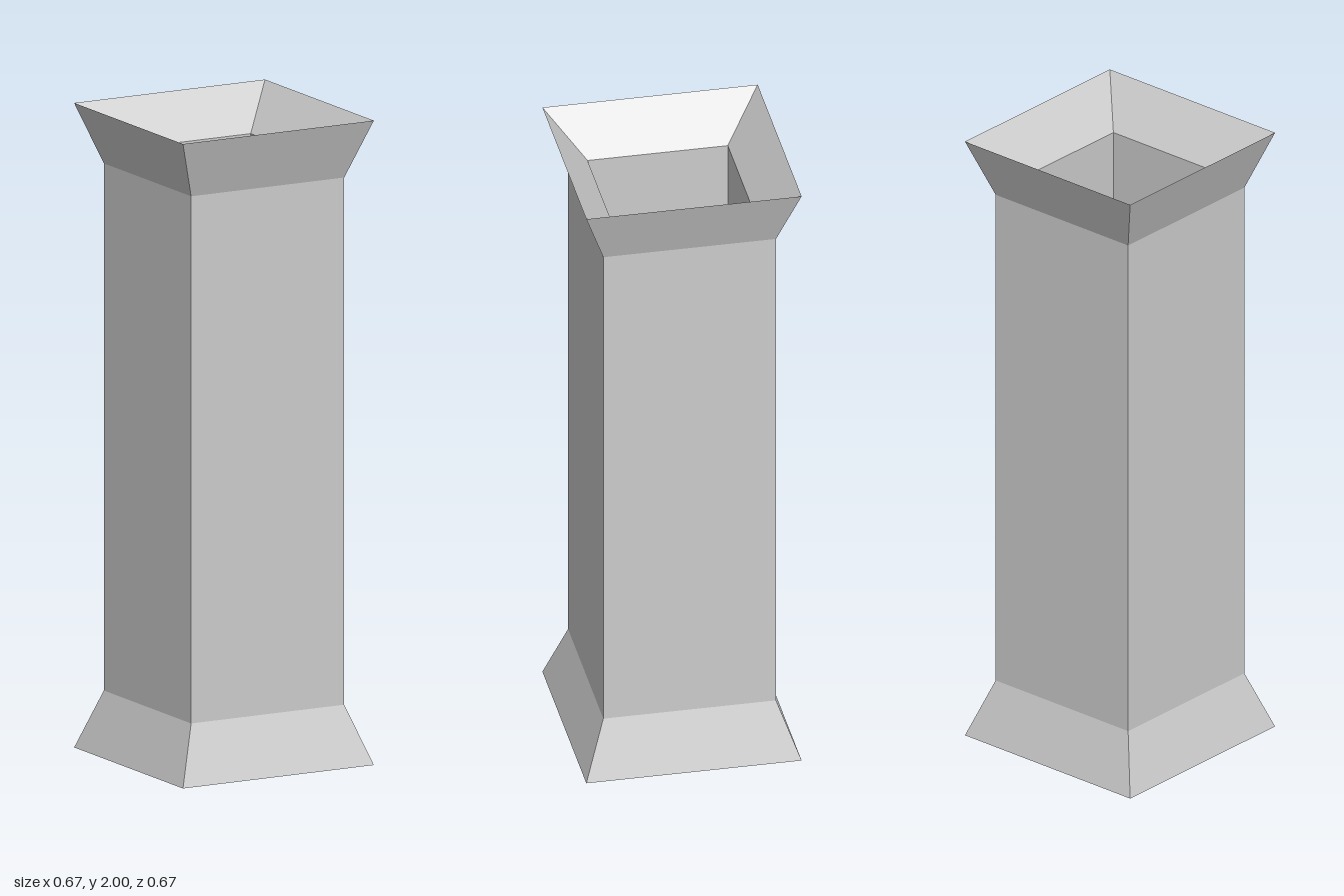
import * as THREE from 'three';

const material = new THREE.MeshStandardMaterial({ color: 0xcccccc, flatShading: true });

// Square section swept along a profile of [half width, height] points
function squareLathe(name, profile) {
  const points = profile.map(([w, y]) => new THREE.Vector2(w * Math.SQRT2, y));
  const geometry = new THREE.LatheGeometry(points, 4, Math.PI / 4).toNonIndexed();
  geometry.computeVertexNormals();
  const mesh = new THREE.Mesh(geometry, material);
  mesh.name = name;
  return mesh;
}

export function createModel() {
  const group = new THREE.Group();
  group.name = 'squareColumn';

  const rim = 0.333, outer = 0.267, inner = 0.217;
  const flare = 0.182, innerFlare = 0.133;
  const floorTop = 1.01, floorBottom = 0.99;

  // Outer shaft with flared foot and lip
  group.add(squareLathe('outerWalls', [
    [rim, 0], [outer, flare], [outer, 2 - flare], [rim, 2],
  ]));

  // Upper hollow, from the knife-edge lip down to the floor
  group.add(squareLathe('upperHollow', [
    [rim, 2], [inner, 2 - innerFlare], [inner, floorTop], [0, floorTop],
  ]));

  // Lower hollow, from the underside of the floor down to the foot
  group.add(squareLathe('lowerHollow', [
    [0, floorBottom], [inner, floorBottom], [inner, innerFlare], [rim, 0],
  ]));

  return group;
}
